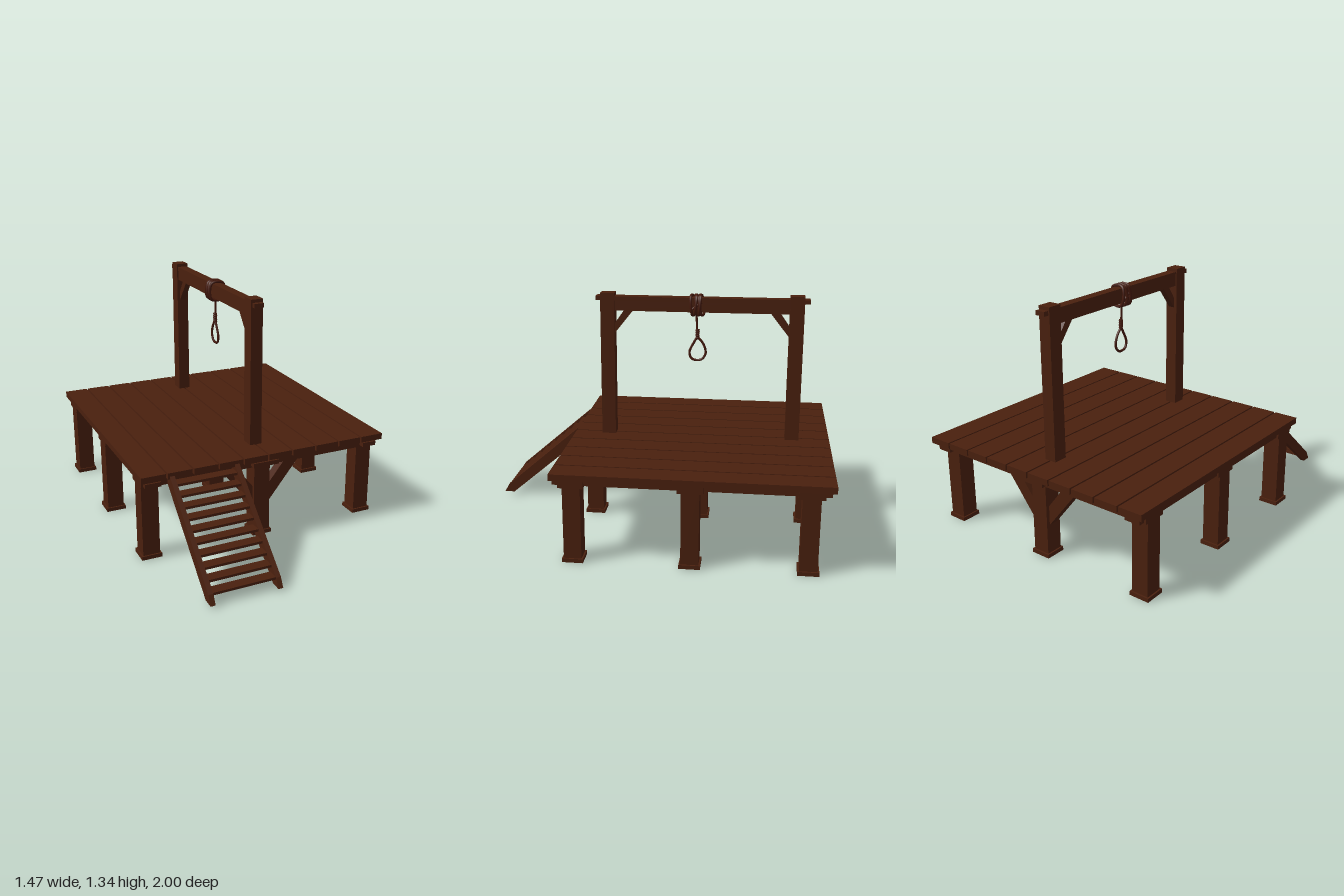
import * as THREE from 'three';

const wood = new THREE.MeshStandardMaterial({ color: 0x4a200e, flatShading: true });
const ropeMat = new THREE.MeshStandardMaterial({ color: 0x45190c });

export function createModel() {
  const model = new THREE.Group();

  const add = (name, geometry, material = wood) => {
    const mesh = new THREE.Mesh(geometry, material);
    mesh.name = name;
    model.add(mesh);
    return mesh;
  };
  // Box given by its limits on each axis
  const box = (name, x0, x1, y0, y1, z0, z1) =>
    add(name, new THREE.BoxGeometry(x1 - x0, y1 - y0, z1 - z0))
      .position.set((x0 + x1) / 2, (y0 + y1) / 2, (z0 + z1) / 2);
  // Outline extruded along z, centred on z = 0
  const slab = (points, depth) => new THREE.ExtrudeGeometry(
    new THREE.Shape(points.map(([x, y]) => new THREE.Vector2(x, y))),
    { depth, bevelEnabled: false }).translate(0, 0, -depth / 2);
  // Same, with the outline in (z, y) and the thickness along x
  const sideSlab = (points, depth) =>
    slab(points.map(([z, y]) => [-z, y]), depth).rotateY(Math.PI / 2);

  // Deck planks
  for (let i = 0; i < 10; i++) {
    const x = -0.666 + i * 0.148;
    box('deckPlank', x - 0.069, x + 0.069, 0.475, 0.51, -1, 0.48);
  }

  // Bearers running front to back
  [[-0.71, -0.62], [-0.085, 0.07], [0.615, 0.7]].forEach(([a, b]) =>
    box('longBearer', a, b, 0.44, 0.465, -0.98, 0.47));

  // Cross beams, legs with foot plates, and knee braces in three rows
  for (const z of [0.368, -0.258, -0.878]) {
    box('crossBeam', -0.72, 0.72, 0.43, 0.475, z - 0.068, z + 0.068);
    for (const x of [-0.668, -0.007, 0.654]) {
      box('leg', x - 0.048, x + 0.048, 0.02, 0.44, z - 0.048, z + 0.048);
      box('footPlate', x - 0.057, x + 0.057, 0, 0.022, z - 0.057, z + 0.057);
    }
    for (const s of [-1, 1]) {
      const outline = [[0.03, 0.16], [0.25, 0.435], [0.16, 0.435], [0.03, 0.27]];
      const pts = outline.map(([x, y]) => [s * x - 0.005, y]);
      add('legBrace', slab(pts, 0.055)).position.z = z;
    }
  }

  // Uprights, top beam and its through tenons
  box('frontUpright', -0.035, 0.035, 0.5, 1.34, 0.24, 0.32);
  box('rearUpright', -0.035, 0.035, 0.5, 1.34, -0.825, -0.745);
  box('topBeam', -0.026, 0.026, 1.24, 1.317, -0.75, 0.25);
  box('beamTenon', -0.028, 0.028, 1.298, 1.322, -0.855, 0.347);

  // Upper corner braces, mirrored about the middle of the beam
  const mid = -0.2525;
  for (const s of [-1, 1]) {
    const pts = [[0.5, 1.1], [0.5, 1.155], [0.437, 1.245], [0.385, 1.245]];
    add('upperBrace', sideSlab(pts.map(([z, y]) => [mid + s * z, y]), 0.036));
  }

  // Stair rails
  const rail = [[1, 0.015], [0.972, 0.065], [0.475, 0.495], [0.44, 0.475],
    [0.445, 0.435], [0.94, 0.015]];
  for (const x of [-0.563, -0.19]) add('stairRail', sideSlab(rail, 0.027)).position.x = x;

  // Stair treads
  for (let i = 0; i < 10; i++) {
    const y = 0.06 + i * 0.0432, z = 0.938 - i * 0.0505;
    box('stairTread', -0.555, -0.2, y - 0.007, y + 0.007, z - 0.03, z + 0.03);
  }

  // Rope pieces
  const rope = (name, points, radius, closed = false, segments = 40) => {
    const curve = new THREE.CatmullRomCurve3(points.map(p => new THREE.Vector3(...p)), closed);
    return add(name, new THREE.TubeGeometry(curve, segments, radius, 7, closed), ropeMat);
  };
  const rz = -0.227;

  // Wraps around the top beam, each leaning a little differently
  for (let i = 0; i < 5; i++) {
    const z = rz - 0.026 + i * 0.013, lean = [0.012, -0.01, 0.006, -0.014, 0.008][i];
    const r = i % 2 ? 0.036 : 0.033;
    rope('beamWrap', [[-r, 1.23, z - lean], [-r, 1.325, z], [r, 1.325, z + lean], [r, 1.23, z]],
      0.008, true);
  }
  rope('wrapTie', [[-0.041, 1.255, rz - 0.03], [-0.042, 1.3, rz + 0.03]], 0.007);
  rope('wrapTie', [[0.041, 1.3, rz - 0.03], [0.042, 1.255, rz + 0.03]], 0.007);

  // Hanging line, coiled knot and loop
  rope('hangingRope', [[0, 1.235, rz + 0.002], [0, 1.17, rz], [0, 1.08, rz - 0.006]], 0.006);
  for (let i = 0; i < 5; i++) {
    const coil = add('knotCoil', new THREE.TorusGeometry(0.007, 0.006, 6, 12), ropeMat);
    coil.rotation.x = Math.PI / 2 + 0.2;
    coil.position.set(0, 1.09 + i * 0.011, rz - 0.005);
  }
  rope('ropeLoop', [[0, 1.088, -0.232], [0, 1.055, -0.265], [0, 1.0, -0.279], [0, 0.966, -0.258],
    [0, 0.959, -0.228], [0, 0.97, -0.198], [0, 1.005, -0.187], [0, 1.055, -0.208]],
    0.007, true, 56);

  return model;
}
